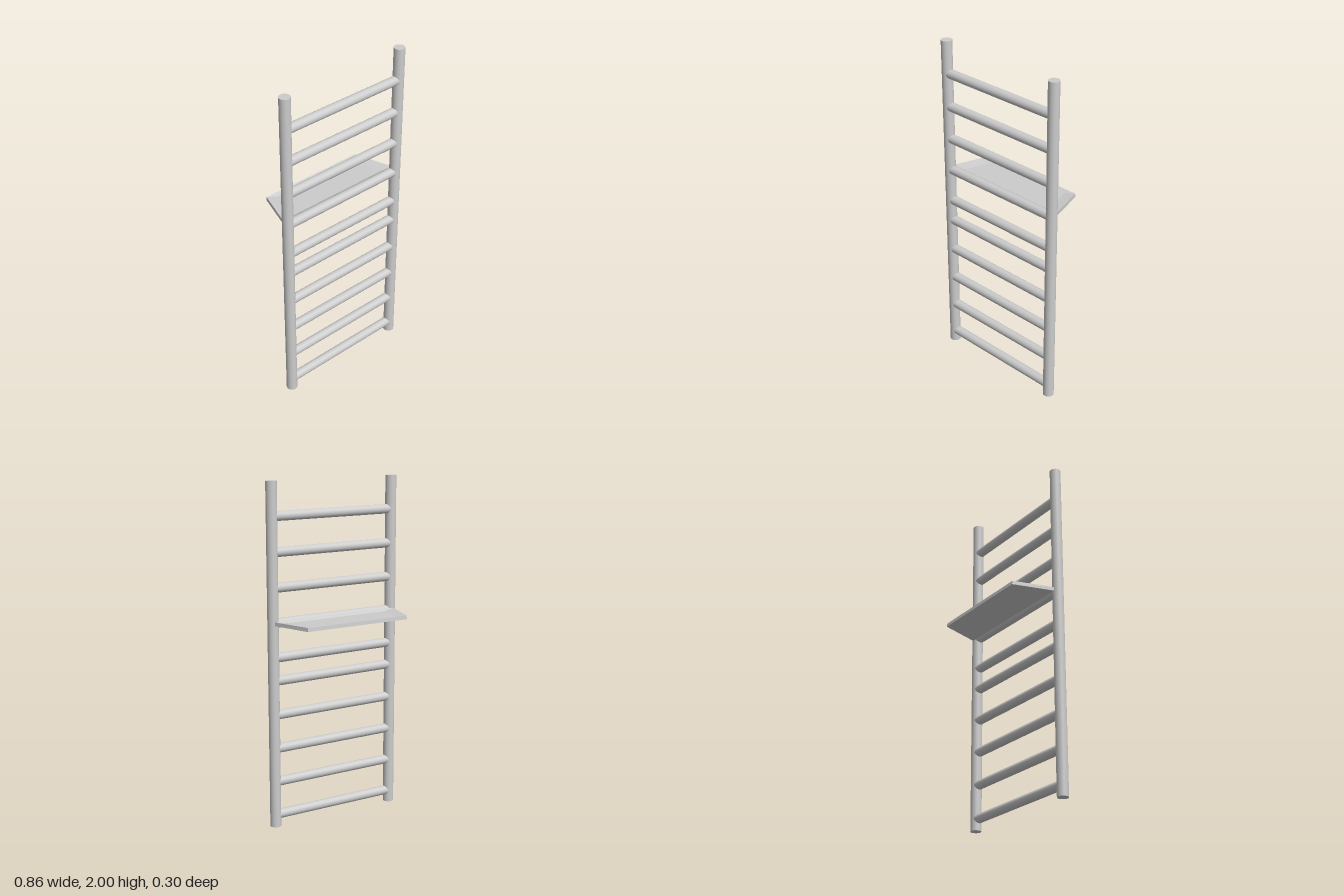
import * as THREE from 'three';

const RAIL_X = 0.4, RAIL_Z = 0.117;
const material = new THREE.MeshStandardMaterial({ color: 0xcccccc });

function add(group, name, geometry, x = 0, y = 0, z = 0) {
  const mesh = new THREE.Mesh(geometry, material);
  mesh.name = name;
  mesh.position.set(x, y, z);
  group.add(mesh);
  return mesh;
}

// Four corners of a symmetric trapezoid at height y, counter-clockwise seen from above
function trapezoid(y, frontX, frontZ, backX, backZ) {
  return [[-frontX, y, frontZ], [frontX, y, frontZ], [backX, y, backZ], [-backX, y, backZ]];
}

// Closed solid skinned through a list of four-cornered loops, with flat faces
function loftGeometry(loops) {
  const positions = [];
  const quad = (a, b, c, d) => positions.push(...a, ...b, ...c, ...a, ...c, ...d);
  for (let i = 0; i < loops.length - 1; i++) {
    const lower = loops[i], upper = loops[i + 1];
    for (let k = 0; k < 4; k++) {
      const n = (k + 1) % 4;
      quad(lower[k], lower[n], upper[n], upper[k]);
    }
  }
  quad(...loops[loops.length - 1]);
  quad(...[...loops[0]].reverse());
  const geometry = new THREE.BufferGeometry();
  geometry.setAttribute('position', new THREE.Float32BufferAttribute(positions, 3));
  geometry.computeVertexNormals();
  return geometry;
}

export function createModel() {
  const model = new THREE.Group();
  model.name = 'ladderWithShelf';

  // Upright rails
  const railGeometry = new THREE.CylinderGeometry(0.032, 0.032, 2, 40);
  add(model, 'leftRail', railGeometry, RAIL_X, 1, RAIL_Z);
  add(model, 'rightRail', railGeometry, -RAIL_X, 1, RAIL_Z);

  // Rungs in two evenly spaced sets of five
  const rungGeometry = new THREE.CylinderGeometry(0.0275, 0.0275, RAIL_X * 2, 32).rotateZ(Math.PI / 2);
  const rungs = new THREE.Group();
  rungs.name = 'rungs';
  for (const start of [0.07, 1.005]) {
    for (let i = 0; i < 5; i++) add(rungs, 'rung', rungGeometry, 0, start + i * 0.2, RAIL_Z);
  }
  model.add(rungs);

  // Tapered shelf behind the rungs: underside, rim, then shallow sunken floor
  add(model, 'shelf', loftGeometry([
    trapezoid(1.195, 0.406, 0.088, 0.332, -0.152),
    trapezoid(1.217, 0.406, 0.088, 0.332, -0.149),
    trapezoid(1.207, 0.333, 0.071, 0.272, -0.125),
  ]));

  return model;
}
